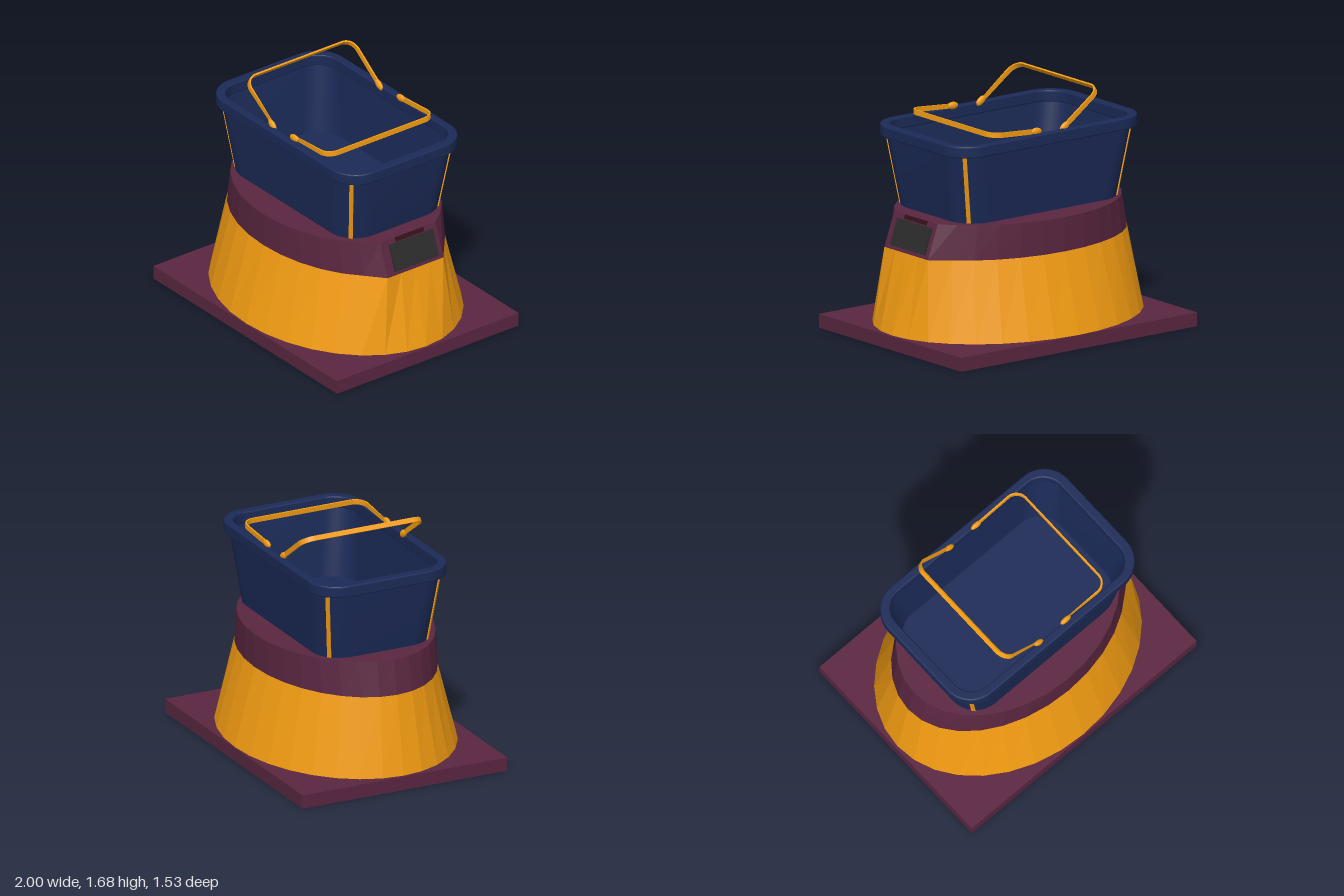
import * as THREE from 'three';

const mat = (color, extra = {}) => new THREE.MeshStandardMaterial({ color, ...extra });
const PURPLE = mat(0x5a2640, { flatShading: true, side: THREE.DoubleSide });
const ORANGE_FLAT = mat(0xf39c12, { flatShading: true, side: THREE.DoubleSide });
const ORANGE = mat(0xf39c12);
const NAVY = mat(0x1b2a57, { side: THREE.DoubleSide });
const BLACK = mat(0x2b2b2b);
const SLOT = mat(0x35101a);

function add(parent, name, geo, material, x = 0, y = 0, z = 0) {
  const m = new THREE.Mesh(geo, material);
  m.name = name;
  m.position.set(x, y, z);
  parent.add(m);
  return m;
}

// Skin a list of equally long rows of [x, y, z] points
function loft(rows) {
  const n = rows[0].length, idx = [];
  for (let r = 0; r < rows.length - 1; r++)
    for (let j = 0; j < n - 1; j++) {
      const a = r * n + j, b = a + 1, c = a + n, d = c + 1;
      idx.push(a, c, b, b, c, d);
    }
  const g = new THREE.BufferGeometry();
  g.setAttribute('position', new THREE.Float32BufferAttribute(rows.flat(2), 3));
  g.setIndex(idx);
  g.computeVertexNormals();
  return g;
}

// Ellipse row; panelX flattens the points facing +x into a panel
function ellipse(y, rx, rz, panelX, n = 32) {
  return Array.from({ length: n + 1 }, (_, i) => {
    const t = i / n * Math.PI * 2, nearFront = Math.min(i, n - i) <= 2;
    const x = panelX !== undefined && nearFront ? panelX : rx * Math.cos(t);
    return [x, y, rz * Math.sin(t)];
  });
}

// Rounded rectangle, half sizes w and h
function roundRect(w, h, r, Type = THREE.Shape) {
  const s = new Type(), q = Math.PI / 2;
  s.absarc(w - r, h - r, r, 0, q);
  s.absarc(r - w, h - r, r, q, 2 * q);
  s.absarc(r - w, r - h, r, 2 * q, 3 * q);
  s.absarc(w - r, r - h, r, 3 * q, 4 * q);
  s.closePath();
  return s;
}

function makePedestal() {
  const g = new THREE.Group();
  g.name = 'pedestal';
  add(g, 'basePlate', new THREE.BoxGeometry(2, 0.095, 1.53), PURPLE, 0, 0.0475, 0);
  add(g, 'skirt', loft([ellipse(0.09, 0.985, 0.76), ellipse(0.64, 0.89, 0.61, 0.865)]), ORANGE_FLAT);
  add(g, 'topBand', loft([
    ellipse(0.64, 0.89, 0.61, 0.865), ellipse(0.875, 0.84, 0.61, 0.78), ellipse(0.875, 0, 0),
  ]), PURPLE);
  // Sloping display with a slot above it
  const tilt = Math.atan2(0.085, 0.235);
  add(g, 'screen', new THREE.BoxGeometry(0.024, 0.187, 0.365), BLACK, 0.827, 0.752, -0.013).rotation.z = tilt;
  add(g, 'screenSlot', new THREE.BoxGeometry(0.012, 0.03, 0.237), SLOT, 0.786, 0.859, -0.009).rotation.z = tilt;
  return g;
}

const FLOOR = 0.885, WALL_TOP = 1.37, THICK = 0.015;
const LOW = { x: 0.485, z: 0.225, r: 0.2 };  // corner centre and radius at the floor
const HIGH = { x: 0.585, z: 0.3, r: 0.17 };  // and under the rim

// C-shaped row around one end of the basket
function endRow(y, c, inset) {
  const row = [];
  for (const side of [-1, 1])
    for (let i = 0; i <= 8; i++) {
      const a = (side < 0 ? i / 8 - 1 : i / 8) * Math.PI / 2, r = c.r - inset;
      row.push([c.x + r * Math.cos(a), y, side * c.z + r * Math.sin(a)]);
    }
  return row;
}

// Long wall with two banks of vertical slots, outer face at local z = 0
function longWall() {
  const rise = WALL_TOP - FLOOR, lean = HIGH.z + HIGH.r - LOW.z - LOW.r;
  const len = Math.hypot(rise, lean);
  const s = new THREE.Shape([[-LOW.x, 0], [LOW.x, 0], [HIGH.x, len], [-HIGH.x, len]]
    .map(p => new THREE.Vector2(...p)));
  for (const bank of [-0.31, 0.3])
    for (let i = 0; i < 10; i++) {
      const x = bank + (i - 4.5) * 0.039, w = 0.009;
      s.holes.push(new THREE.Path([[x - w, 0.1], [x - w, 0.335], [x + w, 0.335], [x + w, 0.1]]
        .map(p => new THREE.Vector2(...p))));
    }
  const g = new THREE.ExtrudeGeometry(s, { depth: THICK, bevelEnabled: false });
  g.translate(0, 0, -THICK);
  g.rotateX(Math.atan2(lean, rise));
  g.translate(0, FLOOR, LOW.z + LOW.r);
  return g;
}

function makeBasket() {
  const g = new THREE.Group();
  g.name = 'basket';
  g.position.z = -0.006;
  const wall = longWall();
  const end = loft([
    endRow(FLOOR, LOW, 0), endRow(WALL_TOP, HIGH, 0),
    endRow(WALL_TOP, HIGH, THICK), endRow(FLOOR, LOW, THICK),
  ]);
  for (const turn of [0, Math.PI]) {
    add(g, 'slottedWall', wall, NAVY).rotation.y = turn;
    add(g, 'endWall', end, NAVY).rotation.y = turn;
  }
  const floor = new THREE.ExtrudeGeometry(roundRect(0.68, 0.42, 0.195), { depth: 0.02, bevelEnabled: false });
  add(g, 'basketFloor', floor.rotateX(-Math.PI / 2), NAVY, 0, 0.88, 0);

  // Rim
  const rim = roundRect(0.79, 0.495, 0.2);
  rim.holes.push(roundRect(0.742, 0.457, 0.165, THREE.Path));
  const rimGeo = new THREE.ExtrudeGeometry(rim, {
    depth: 0.06, bevelThickness: 0.01, bevelSize: 0.01, bevelSegments: 3, curveSegments: 10,
  });
  add(g, 'rim', rimGeo.rotateX(-Math.PI / 2), NAVY, 0, 1.37, 0);

  // Coloured strips down the four corners
  const k = Math.SQRT1_2;
  for (const sx of [-1, 1])
    for (const sz of [-1, 1]) {
      const at = (c, y) => new THREE.Vector3(sx * (c.x + c.r * k), y, sz * (c.z + c.r * k));
      const a = at(LOW, FLOOR), b = at(HIGH, WALL_TOP), dir = b.clone().sub(a);
      const geo = new THREE.BoxGeometry(0.028, dir.length(), 0.014).rotateY(sx * sz * Math.PI / 4);
      const m = add(g, 'cornerStrip', geo, ORANGE);
      m.position.copy(a).add(b).multiplyScalar(0.5);
      m.quaternion.setFromUnitVectors(new THREE.Vector3(0, 1, 0), dir.normalize());
    }
  g.add(makeHandle('leftHandle', 0.12, 1.452, Math.atan2(0.025, 0.37)));
  g.add(makeHandle('rightHandle', -0.12, 1.448, Math.PI - Math.atan2(0.215, 0.3)));
  return g;
}

// U-shaped carrying handle, reaching along local +x from its two pivots
function makeHandle(name, x, y, angle) {
  const g = new THREE.Group();
  g.name = name;
  g.position.set(x, y, 0);
  g.rotation.z = angle;
  const reach = 0.375, half = 0.455, t = 0.012, r = 0.09, q = Math.PI / 2;
  const s = new THREE.Shape();
  s.moveTo(0, -half);
  s.absarc(reach - r, r - half, r, -q, 0);
  s.absarc(reach - r, half - r, r, 0, q);
  s.lineTo(0, half);
  s.lineTo(0, half - t);
  s.absarc(reach - r, half - r, r - t, q, 0, true);
  s.absarc(reach - r, r - half, r - t, 0, -q, true);
  s.lineTo(0, t - half);
  const bar = new THREE.ExtrudeGeometry(s, { depth: 0.034, bevelEnabled: false, curveSegments: 10 });
  bar.translate(0, 0, -0.017).rotateX(-q);
  add(g, 'handleBar', bar, ORANGE);
  for (const side of [-1, 1]) {
    const knob = add(g, 'handlePivot', new THREE.SphereGeometry(0.03, 16, 12), ORANGE, 0, 0, side * (half - 0.006));
    knob.scale.set(1.5, 0.85, 0.6);
  }
  return g;
}

export function createModel() {
  const model = new THREE.Group();
  model.name = 'basketOnPedestal';
  model.add(makePedestal(), makeBasket());
  return model;
}
